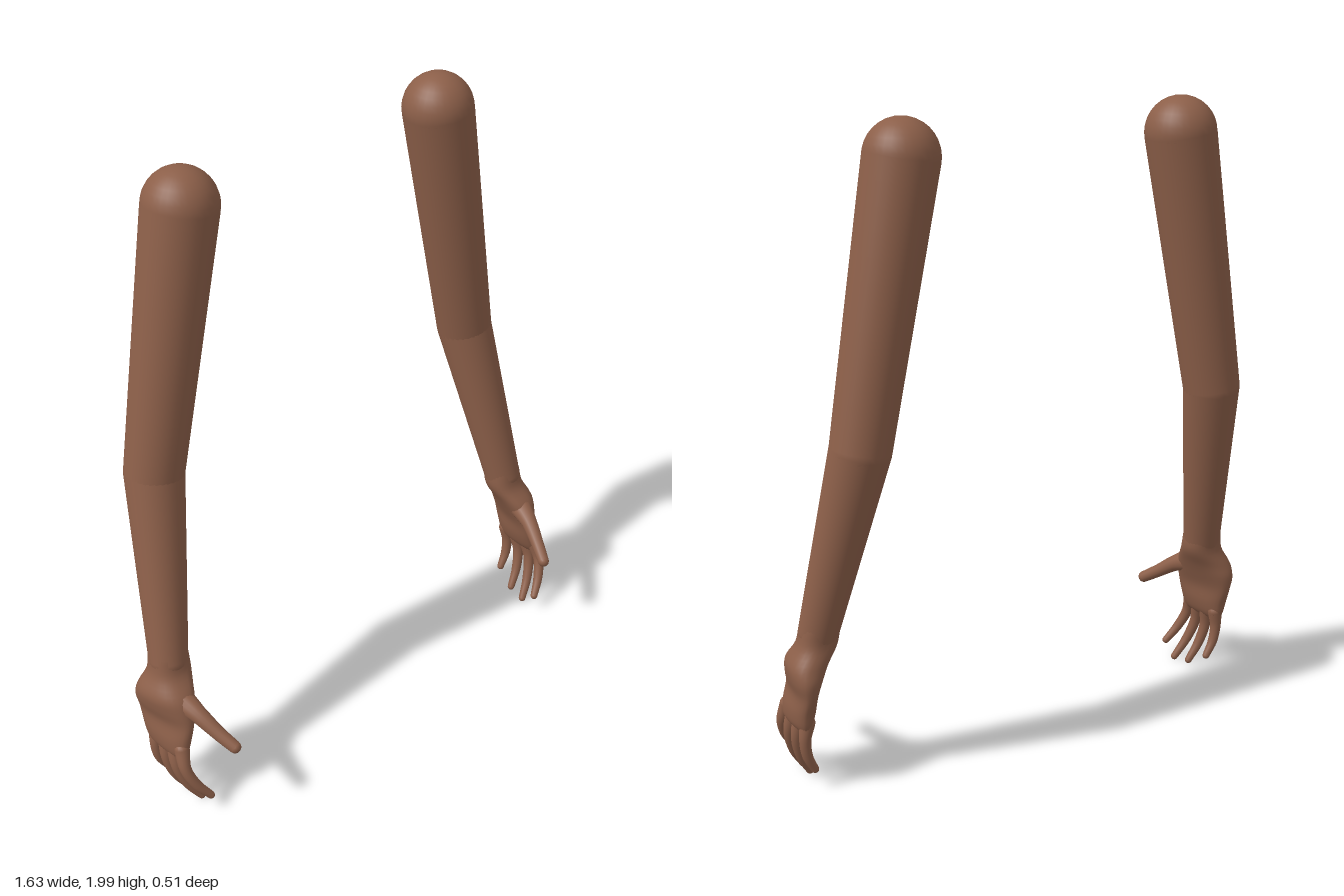
import * as THREE from 'three';

const skin = new THREE.MeshStandardMaterial({ color: 0x8c5f49 });
skin.name = 'brown skin';

function addMesh(group, name, geometry) {
  const mesh = new THREE.Mesh(geometry, skin);
  mesh.name = name;
  group.add(mesh);
  return mesh;
}

// Round limb along a path of [x, y, z, radius] points, with ball ends.
function limb(parent, side, name, points, sides = 16, steps = 12) {
  const group = new THREE.Group();
  group.name = name;
  const path = points.map(([x, y, z]) => new THREE.Vector3(side * x, y, z));
  const curve = new THREE.CatmullRomCurve3(path);
  const geometry = new THREE.TubeGeometry(curve, steps, 1, sides);
  const pos = geometry.attributes.position;
  const v = new THREE.Vector3();
  const radiusAt = (t) => {
    const f = t * (points.length - 1);
    const i = Math.min(Math.floor(f), points.length - 2);
    return THREE.MathUtils.lerp(points[i][3], points[i + 1][3], f - i);
  };
  for (let i = 0; i <= steps; i++) {
    const centre = curve.getPointAt(i / steps);
    for (let j = 0; j <= sides; j++) {
      const k = i * (sides + 1) + j;
      v.fromBufferAttribute(pos, k).sub(centre).multiplyScalar(radiusAt(i / steps)).add(centre);
      pos.setXYZ(k, v.x, v.y, v.z);
    }
  }
  addMesh(group, name + 'Shaft', geometry);
  for (const i of [0, points.length - 1]) {
    const ball = addMesh(group, name + 'End', new THREE.SphereGeometry(points[i][3], sides, sides / 2));
    ball.position.copy(path[i]);
  }
  parent.add(group);
}

// Palm lofted downward through [x, y, z, half thickness, half width, slant] sections.
function palmGeometry(side) {
  const sections = [
    [0.715, 0.53, -0.025, 0.058, 0.058, 0],
    [0.722, 0.47, -0.015, 0.062, 0.062, 0.05],
    [0.748, 0.415, 0.0, 0.062, 0.089, 0.15],
    [0.758, 0.37, 0.004, 0.051, 0.103, 0.18],
    [0.762, 0.32, 0.012, 0.036, 0.104, 0.16],
    [0.769, 0.265, 0.021, 0.036, 0.094, 0.1],
    [0.774, 0.222, 0.026, 0.028, 0.086, 0.06],
    [0.776, 0.2, 0.026, 0.012, 0.07, 0.04],
    [0.776, 0.198, 0.026, 0.001, 0.01, 0.04],
  ];
  const curveOf = (a, b, c) => new THREE.CatmullRomCurve3(
    sections.map((s) => new THREE.Vector3(s[a], s[b], s[c])), false, 'catmullrom');
  const centres = curveOf(0, 1, 2), sizes = curveOf(3, 4, 5);
  const rows = 32, ring = 28, positions = [], index = [];
  const bulge = (n) => Math.sign(n) * Math.abs(n) ** 0.85;
  for (let i = 0; i <= rows; i++) {
    const c = centres.getPoint(i / rows), h = sizes.getPoint(i / rows);
    for (let j = 0; j < ring; j++) {
      const a = side * j / ring * Math.PI * 2;
      const dz = bulge(Math.cos(a)) * h.y;
      const dx = bulge(Math.sin(a)) * h.x - h.z * dz;
      positions.push(side * (c.x + dx), c.y, c.z + dz);
      if (i === rows) continue;
      const p = i * ring + j, q = i * ring + (j + 1) % ring;
      index.push(p, p + ring, q, q, p + ring, q + ring);
    }
  }
  const geometry = new THREE.BufferGeometry();
  geometry.setAttribute('position', new THREE.Float32BufferAttribute(positions, 3));
  geometry.setIndex(index);
  geometry.computeVertexNormals();
  return geometry;
}

function createArm(side, name) {
  const arm = new THREE.Group();
  arm.name = name;
  limb(arm, side, 'upperArm', [[0.48, 1.89, -0.15, 0.11], [0.63, 1.08, -0.15, 0.09]], 32);
  limb(arm, side, 'forearm', [[0.63, 1.08, -0.15, 0.09], [0.718, 0.5, -0.02, 0.06]], 32);

  const hand = new THREE.Group();
  hand.name = 'hand';
  arm.add(hand);
  addMesh(hand, 'palm', palmGeometry(side));

  // Thumb reaches forward and slightly inward.
  limb(hand, side, 'thumb', [
    [0.735, 0.395, 0.055, 0.04], [0.718, 0.365, 0.12, 0.027],
    [0.695, 0.32, 0.185, 0.022], [0.674, 0.287, 0.235, 0.019],
  ]);

  // Fingers curl inward: base z, base y, tip z, tip y.
  const fingers = [
    ['indexFinger', 0.096, 0.24, 0.163, 0.062, 0.722],
    ['middleFinger', 0.054, 0.235, 0.11, 0.02, 0.72],
    ['ringFinger', 0.01, 0.23, 0.045, 0.028, 0.73],
    ['littleFinger', -0.037, 0.23, -0.028, 0.068, 0.748],
  ];
  for (const [finger, z0, y0, z1, y1, tipX] of fingers) {
    const at = (t, x, r) => [x, y0 + (y1 - y0) * t, z0 + (z1 - z0) * t, r];
    limb(hand, side, finger, [
      at(0, 0.772, 0.024), at(0.35, 0.78, 0.018),
      at(0.7, (0.78 + tipX) / 2 + 0.008, 0.016), at(1, tipX, 0.012),
    ]);
  }
  return arm;
}

export function createModel() {
  const model = new THREE.Group();
  model.name = 'arms';
  model.add(createArm(1, 'leftArm'), createArm(-1, 'rightArm'));
  return model;
}
